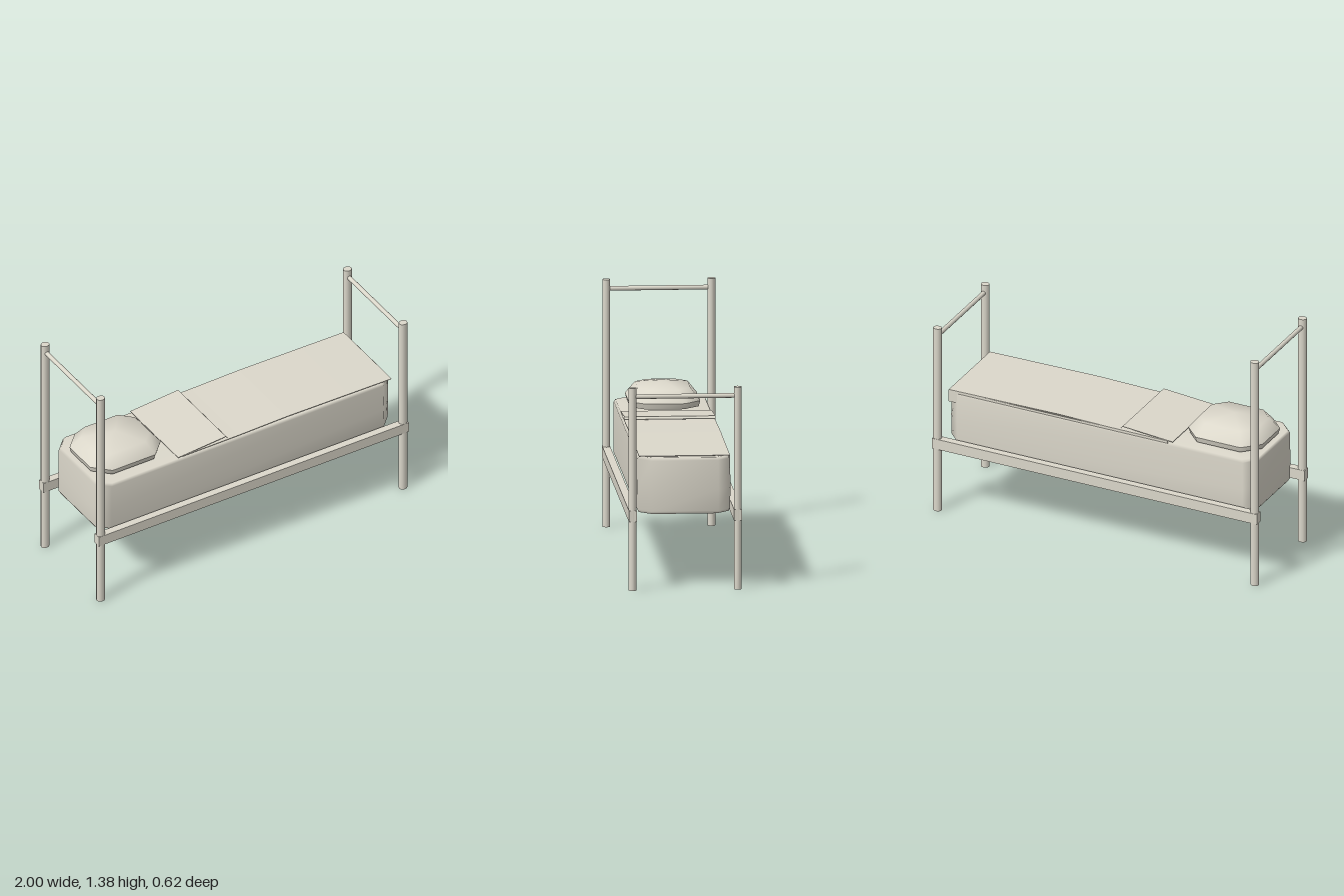
import * as THREE from 'three';

const linen = new THREE.MeshStandardMaterial({ color: 0xdcd8cb, side: THREE.DoubleSide });
linen.name = 'pale linen grey';

function add(parent, name, geometry, x = 0, y = 0, z = 0) {
  const mesh = new THREE.Mesh(geometry, linen);
  mesh.name = name;
  mesh.position.set(x, y, z);
  parent.add(mesh);
  return mesh;
}

// Smooth block with clipped corners and an open underside, from rings
// [y, halfX, halfZ, cornerCut]; topY is the optional centre of the top
function cushion(rings, topY) {
  const pos = [], index = [];
  for (const [y, hx, hz, c] of rings) {
    const outline = [[hx, c - hz], [hx, hz - c], [hx - c, hz], [c - hx, hz],
      [-hx, hz - c], [-hx, c - hz], [c - hx, -hz], [hx - c, -hz]];
    for (const [x, z] of outline) pos.push(x, y, z);
  }
  for (let r = 0; r < rings.length - 1; r++) {
    for (let j = 0; j < 8; j++) {
      const a = r * 8 + j, b = r * 8 + (j + 1) % 8;
      index.push(a, a + 8, b, b, a + 8, b + 8);
    }
  }
  if (topY !== undefined) {
    const centre = pos.length / 3, start = centre - 8;
    pos.push(0, topY, 0);
    for (let j = 0; j < 8; j++) index.push(centre, start + (j + 1) % 8, start + j);
  }
  const geometry = new THREE.BufferGeometry();
  geometry.setAttribute('position', new THREE.Float32BufferAttribute(pos, 3));
  geometry.setIndex(index);
  geometry.computeVertexNormals();
  return geometry;
}

// Thin cloth: a side line in x, y given a small thickness and spread across the bed
function cloth(line, thickness) {
  const under = line.map(([x, y]) => [x, y - thickness]).reverse();
  const shape = new THREE.Shape([...line, ...under].map(([x, y]) => new THREE.Vector2(x, y)));
  const geometry = new THREE.ExtrudeGeometry(shape, { depth: 0.5, bevelEnabled: false });
  geometry.translate(0, 0, -0.25);
  return geometry;
}

export function createModel() {
  const bed = new THREE.Group();
  bed.name = 'bed';

  // Head and foot frames: two slightly oval tube posts and a cross bar each
  for (const [name, x, height, barY] of [['head', -0.975, 1.378, 1.327], ['foot', 0.975, 1.127, 1.078]]) {
    const frame = new THREE.Group();
    frame.name = name + 'Frame';
    for (const z of [-0.289, 0.289]) {
      const tube = new THREE.CylinderGeometry(0.0218, 0.0218, height, 12, 1, true).scale(1.145, 1, 1);
      add(frame, name + 'Post', tube, x, height / 2, z);
      const lid = new THREE.CircleGeometry(0.0218, 12).rotateX(-Math.PI / 2).scale(1.145, 1, 1);
      add(frame, name + 'PostTop', lid, x, height, z);
    }
    add(frame, name + 'Bar', new THREE.CylinderGeometry(0.013, 0.013, 0.56, 10), x, barY, 0).rotation.x = Math.PI / 2;
    bed.add(frame);
  }

  // Side rails
  for (const z of [-0.289, 0.289]) {
    add(bed, 'sideRail', new THREE.BoxGeometry(1.998, 0.062, 0.0434), 0, 0.415, z);
  }

  // Mattress, a hollow shell open below
  add(bed, 'mattress', cushion([
    [0.415, 0.938, 0.247, 0.07],
    [0.43, 0.946, 0.255, 0.07],
    [0.55, 0.948, 0.256, 0.07],
    [0.712, 0.946, 0.255, 0.07],
    [0.728, 0.938, 0.247, 0.07],
  ], 0.729), -0.005);

  // Pillow: leaning rim band and smooth domed top
  const pillow = new THREE.Group();
  pillow.name = 'pillow';
  pillow.position.x = -0.702;
  const rim = [0.77, 0.228, 0.197, 0.09];
  add(pillow, 'pillowRim', cushion([[0.738, 0.22, 0.189, 0.087], rim]));
  add(pillow, 'pillowTop', cushion([rim, [0.838, 0.175, 0.145, 0.07]], 0.864));
  bed.add(pillow);

  // Blanket, slightly crowned, with a short drop along the back side
  add(bed, 'blanket', cloth([
    [-0.42, 0.737], [-0.06, 0.738], [0.25, 0.744], [0.65, 0.74], [0.926, 0.737],
  ], 0.003));
  add(bed, 'blanketDrop', new THREE.BoxGeometry(1.346, 0.072, 0.003), 0.253, 0.7, -0.2485);

  // Turned-back fold rising to a loose edge that tucks down
  add(bed, 'blanketFold', cloth([
    [-0.45, 0.738], [-0.142, 0.762], [-0.132, 0.749],
  ], 0.003));

  return bed;
}
